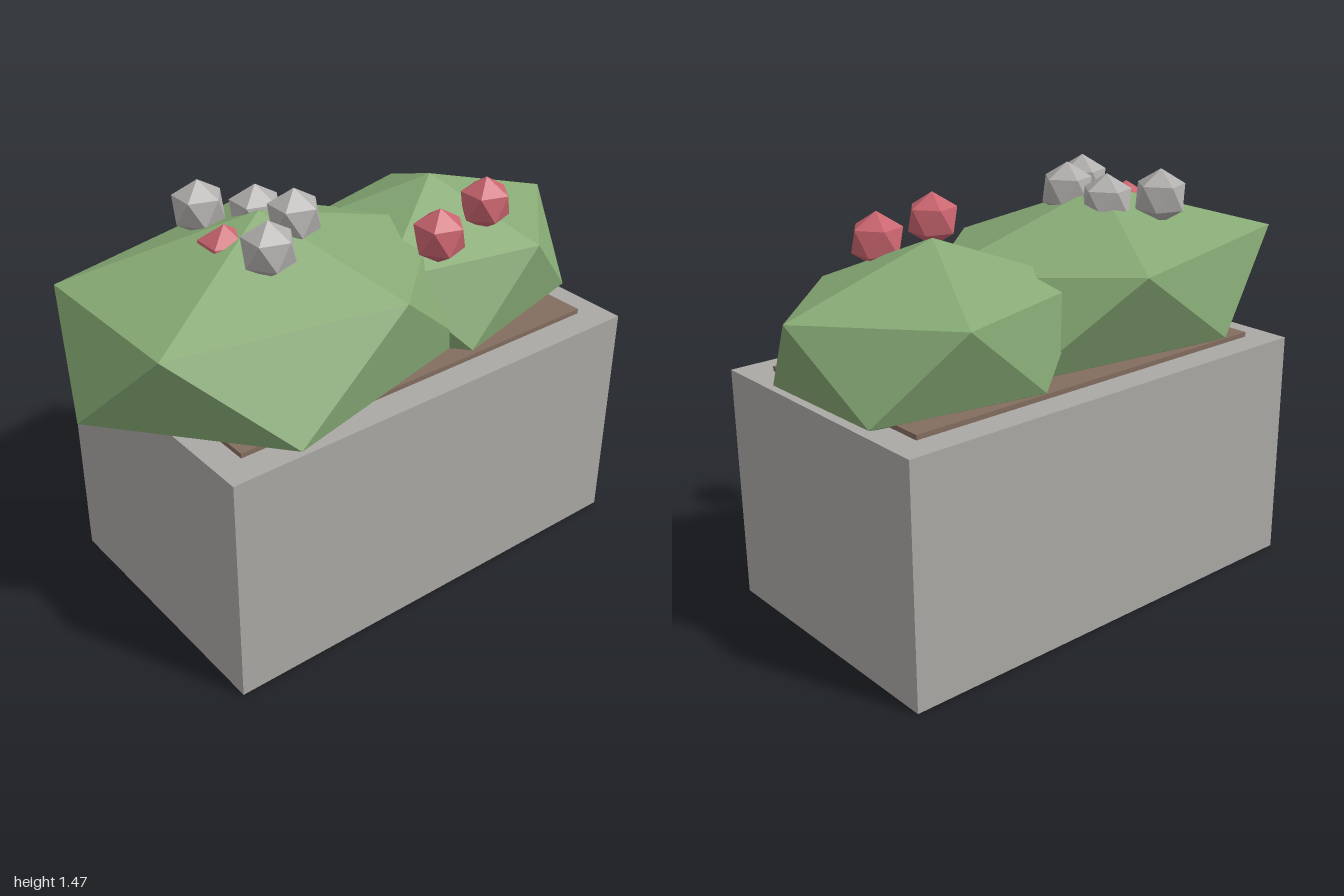
import * as THREE from 'three';
import { ConvexGeometry } from 'three/addons/geometries/ConvexGeometry.js';

// Icosahedron from its upper ring of five offsets; the rest follows by symmetry.
function icosaFromRing(ring) {
  const upper = ring.map((p) => new THREE.Vector3(...p));
  const apex = new THREE.Vector3();
  upper.forEach((p) => apex.add(p));
  apex.divideScalar(Math.sqrt(5));
  const half = [apex, ...upper];
  return new ConvexGeometry([...half, ...half.map((p) => p.clone().negate())]);
}

function material(name, color) {
  const m = new THREE.MeshStandardMaterial({ color });
  m.name = name;
  return m;
}

export function createModel() {
  const group = new THREE.Group();
  const stone = material('stone', 0xaaa8a4);
  const soil = material('soil', 0x836d60);
  const leaf = material('leaf', 0x86a974);
  const pink = material('pink bloom', 0xc9646e);
  const pale = material('pale bloom', 0xb2b0ae);

  const add = (name, geometry, mat, x, y, z) => {
    const mesh = new THREE.Mesh(geometry, mat);
    mesh.name = name;
    mesh.position.set(x, y, z);
    group.add(mesh);
  };

  // Planter block with a soil slab on top
  add('planter', new THREE.BoxGeometry(1.67, 0.835, 1.005), stone, 0.065, 0.4175, -0.008);
  add('soil', new THREE.BoxGeometry(1.47, 0.04, 0.8), soil, 0.065, 0.832, -0.01);

  // Two faceted bushes
  add('largeBush', icosaFromRing([
    [0.72, 0.145, 0], [0.22, 0.15, 0.45], [-0.59, 0.165, 0.30],
    [-0.60, 0.17, -0.31], [0.25, 0.165, -0.52],
  ]), leaf, -0.28, 1.03, -0.01);
  add('smallBush', icosaFromRing([
    [0.54, 0.14, 0], [0.16, 0.14, 0.38], [-0.43, 0.145, 0.26],
    [-0.44, 0.145, -0.26], [0.17, 0.14, -0.42],
  ]), leaf, 0.46, 1.0, -0.04);

  // Round blooms, each with one corner pointing up
  const r = 0.096;
  const bloom = icosaFromRing([0, 1, 2, 3, 4].map((i) => {
    const a = (i * Math.PI * 2) / 5;
    return [(Math.cos(a) * 2 * r) / Math.sqrt(5), r / Math.sqrt(5), (Math.sin(a) * 2 * r) / Math.sqrt(5)];
  }));
  [[-0.385, 1.36, -0.235], [-0.24, 1.345, -0.12], [-0.195, 1.37, 0.03], [-0.385, 1.357, 0.155]]
    .forEach((p, i) => add(`paleBloom${i + 1}`, bloom, pale, ...p));
  [[0.2, 1.28, 0.285], [0.507, 1.275, 0.178], [-0.42, 1.285, -0.035]]
    .forEach((p, i) => add(`pinkBloom${i + 1}`, bloom, pink, ...p));

  return group;
}
